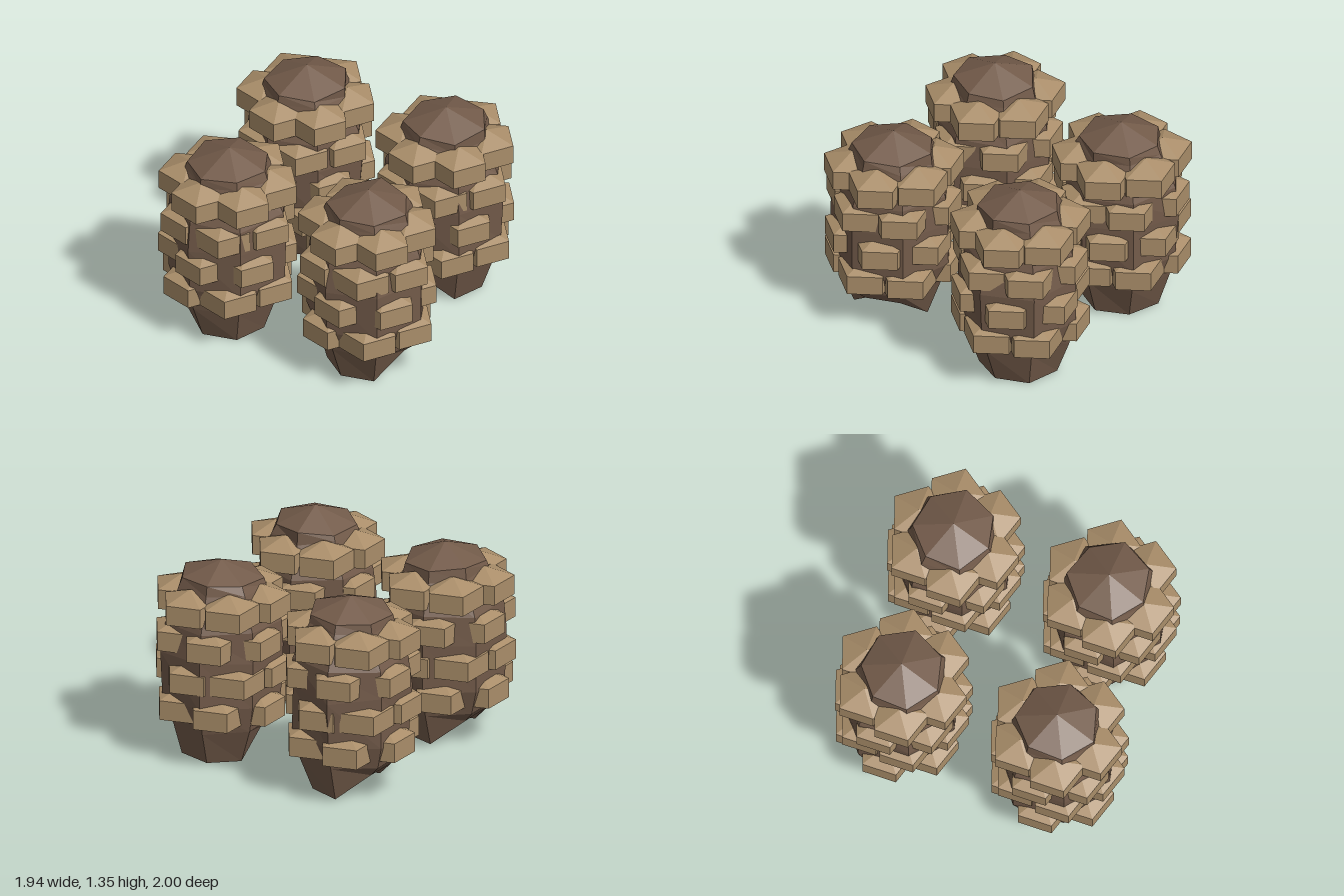
import * as THREE from 'three';

const rad = THREE.MathUtils.degToRad;

// Small seeded generator for the rough-hewn variation, range -1..1
function seeded(seed) {
  let s = seed;
  return () => {
    s = (s * 16807) % 2147483647;
    return (s / 2147483647) * 2 - 1;
  };
}

function lathe(points, sides) {
  return new THREE.LatheGeometry(points.map(([r, y]) => new THREE.Vector2(r, y)), sides);
}

function faceted(geometry) {
  const flat = geometry.toNonIndexed();
  flat.computeVertexNormals();
  return flat;
}

// Trunk profile from the hollow underside to the peaked cap: radius, height
const TRUNK = [
  [0, 0.1], [0.265, 0], [0.35, 0.25], [0.4, 0.42], [0.41, 0.75],
  [0.39, 0.95], [0.29, 1.18], [0.275, 1.245], [0, 1.35],
];
const SIDES = 7;

// Seven-sided trunk; the foot is chipped away towards the angle chip
function trunkGeometry(phase, chip, random) {
  const geometry = lathe(TRUNK, SIDES).rotateY(rad(phase));
  const jitter = TRUNK.map(() =>
    Array.from({ length: SIDES }, () => [1 + 0.035 * random(), 0.018 * random()]));
  const pos = geometry.attributes.position;
  const last = TRUNK.length - 1;
  for (let i = 0; i < pos.count; i++) {
    const row = i % TRUNK.length;
    if (row === 0 || row === last) continue;
    const side = Math.floor(i / TRUNK.length) % SIDES;
    const [scale, lift] = jitter[row][side];
    const x = pos.getX(i) * scale;
    const z = pos.getZ(i) * scale;
    let y = pos.getY(i) + lift;
    if (row === 1) {
      const facing = Math.cos(Math.atan2(x, z) - rad(chip));
      y = facing > 0.65 ? 0.165 : 0;
    }
    pos.setXYZ(i, x, y, z);
  }
  return faceted(geometry);
}

// Five-sided stone with low pyramids above and below, one corner towards +x
function stoneGeometry() {
  const profile = [[0, -0.135], [0.198, -0.068], [0.198, 0.068], [0, 0.135]];
  return faceted(lathe(profile, 5).rotateY(Math.PI / 2));
}

// Four rings of stones, listed from the top: height and starting angle
const RINGS = [
  { name: 'topRing', y: 1.075, angle: -14 },
  { name: 'upperRing', y: 0.845, angle: 20 },
  { name: 'lowerRing', y: 0.6, angle: -7 },
  { name: 'bottomRing', y: 0.368, angle: 29 },
];
const RING_RADIUS = 0.272;

// Four pillars: position, trunk rotation, chipped side
const PILLARS = [
  { name: 'frontRightPillar', x: -0.535, z: 0.54, phase: 38.6, chip: -90 },
  { name: 'frontLeftPillar', x: 0.5, z: 0.54, phase: 36, chip: 115 },
  { name: 'backRightPillar', x: -0.535, z: -0.54, phase: 38.6, chip: -110 },
  { name: 'backLeftPillar', x: 0.5, z: -0.54, phase: 40, chip: -60 },
];

export function createModel() {
  const brown = new THREE.MeshStandardMaterial({ color: 0x735b4a });
  brown.name = 'brown';
  const tan = new THREE.MeshStandardMaterial({ color: 0xaa8e6a });
  tan.name = 'tan';
  brown.flatShading = tan.flatShading = true;

  const model = new THREE.Group();
  model.name = 'pillarCluster';
  const stone = stoneGeometry();

  PILLARS.forEach(({ name, x, z, phase, chip }, index) => {
    const random = seeded(1234 + index * 977);
    const pillar = new THREE.Group();
    pillar.name = name;
    pillar.position.set(x, 0, z);

    const trunk = new THREE.Mesh(trunkGeometry(phase, chip, random), brown);
    trunk.name = 'trunk';
    pillar.add(trunk);

    // Six stones per ring, all keeping the same orientation
    for (const ring of RINGS) {
      const group = new THREE.Group();
      group.name = ring.name;
      for (let i = 0; i < 6; i++) {
        const a = rad(ring.angle + i * 60);
        const mesh = new THREE.Mesh(stone, tan);
        mesh.name = 'stone';
        mesh.position.set(RING_RADIUS * Math.sin(a), ring.y, RING_RADIUS * Math.cos(a));
        group.add(mesh);
      }
      pillar.add(group);
    }
    model.add(pillar);
  });
  return model;
}
